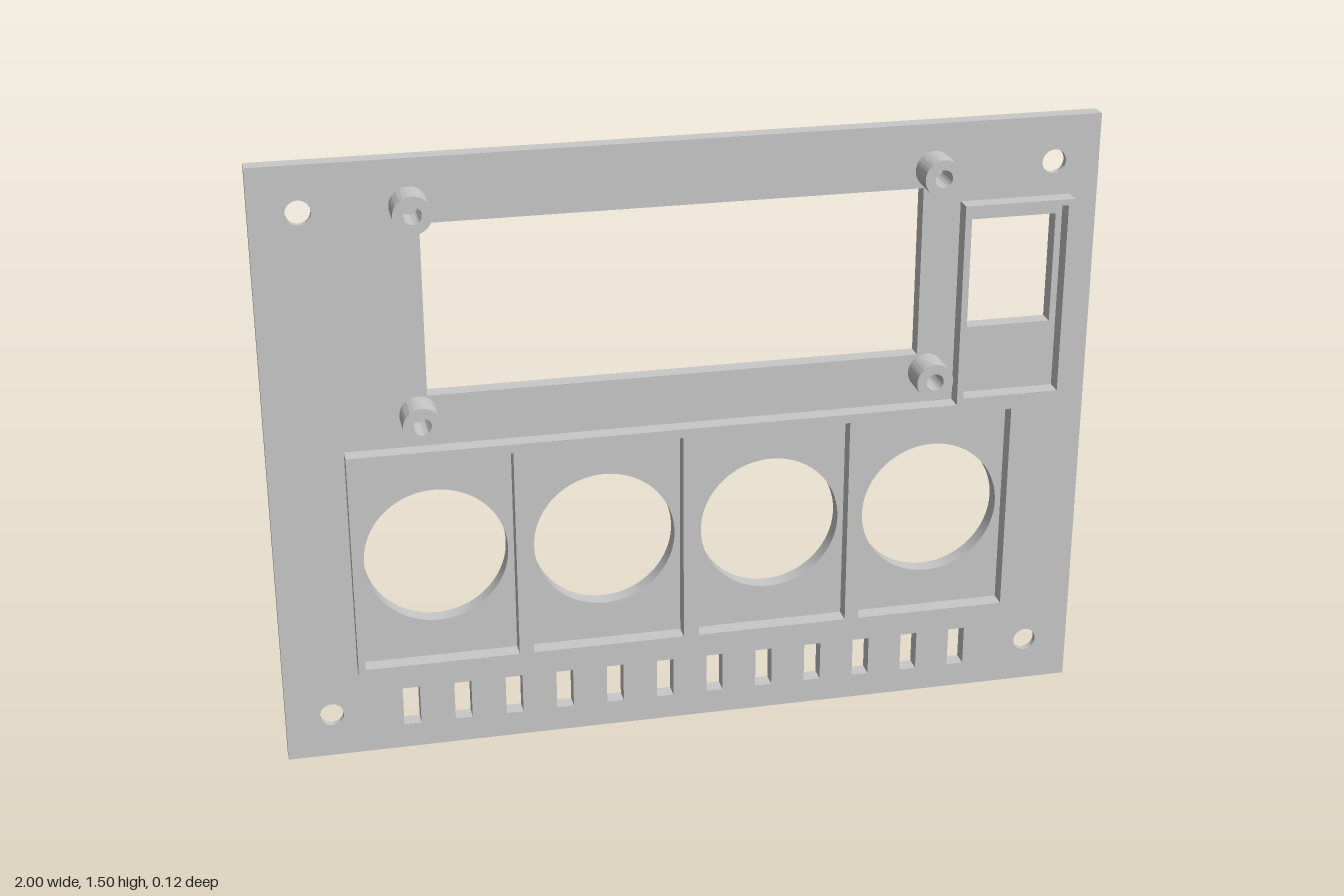
import * as THREE from 'three';
import { mergeGeometries, toCreasedNormals } from 'three/addons/utils/BufferGeometryUtils.js';

const BACK = -0.058, SINK = -0.034, FACE = -0.018, RIB = 0.023, BOSS = 0.058;
const HEIGHT = 1.505;

// Rectangle outline from its edges
function rect(x0, x1, y0, y1, Type = THREE.Path) {
  const p = new Type();
  p.moveTo(x0, y0).lineTo(x1, y0).lineTo(x1, y1).lineTo(x0, y1).closePath();
  return p;
}

function circle(x, y, r, Type = THREE.Path) {
  const p = new Type();
  p.absarc(x, y, r, 0, Math.PI * 2, false);
  return p;
}

// Extrude a shape from z0 to z1, leaving out the hidden cap at z = open
function slab(shape, z0, z1, open) {
  const g = new THREE.ExtrudeGeometry(shape, { depth: z1 - z0, bevelEnabled: false, curveSegments: 40 });
  g.translate(0, 0, z0);
  const src = g.attributes.position, out = [];
  for (let i = 0; i < src.count; i += 3) {
    const tri = [i, i + 1, i + 2];
    if (tri.every(k => Math.abs(src.getZ(k) - open) < 1e-5)) continue;
    for (const k of tri) out.push(src.getX(k), src.getY(k), src.getZ(k));
  }
  const res = new THREE.BufferGeometry();
  res.setAttribute('position', new THREE.Float32BufferAttribute(out, 3));
  return res;
}

export function createModel() {
  const group = new THREE.Group();
  // Double-sided for the open countersink walls
  const grey = new THREE.MeshStandardMaterial({ color: 0xc8c8c8, side: THREE.DoubleSide });
  grey.name = 'light grey';
  const add = (name, geometry) => {
    const mesh = new THREE.Mesh(toCreasedNormals(geometry, 0.6), grey);
    mesh.name = name;
    group.add(mesh);
  };

  const gaugeX = [-0.616, -0.207, 0.205, 0.614];
  const corners = [-0.888, 0.888].flatMap(x => [0.112, 1.394].map(y => [x, y]));

  // Panel outline with every cutout; screw holes take the given radius
  function panelShape(screwRadius) {
    const s = rect(-1, 1, 0, HEIGHT, THREE.Shape);
    s.holes.push(rect(-0.62, 0.567, 0.93, 1.35));      // display window
    s.holes.push(rect(0.688, 0.9, 0.99, 1.264));       // switch opening
    for (const x of gaugeX) s.holes.push(circle(x, 0.516, 0.173));
    for (let i = 0; i < 12; i++) {                     // vent slots
      const x = -0.693 + i * 0.1268;
      s.holes.push(rect(x - 0.021, x + 0.021, 0.063, 0.164));
    }
    for (const [x, y] of corners) s.holes.push(circle(x, y, screwRadius));
    return s;
  }

  // Front and back layers of the panel, joined without inner faces
  add('panel', mergeGeometries([
    slab(panelShape(0.029), SINK, FACE, SINK),
    slab(panelShape(0.052), BACK, SINK, SINK),
  ]));

  // Countersinks opening to the back
  for (const [x, y] of corners) {
    const cone = new THREE.LatheGeometry(
      [new THREE.Vector2(0.029, SINK), new THREE.Vector2(0.052, BACK)], 40);
    cone.rotateX(Math.PI / 2).translate(x, y, 0);
    add('countersink', cone);
  }

  // Raised frame around the four gauges and the switch
  const frame = new THREE.Shape();
  [[-0.82, 0.233], [0.818, 0.233], [0.818, 0.805], [0.932, 0.805], [0.932, 1.311],
    [0.66, 1.311], [0.66, 0.805], [-0.82, 0.805]]
    .forEach(([x, y], i) => (i ? frame.lineTo(x, y) : frame.moveTo(x, y)));
  frame.closePath();
  for (const x of gaugeX)
    frame.holes.push(rect(x - 0.187, x + 0.187, 0.248, 0.783));
  frame.holes.push(rect(0.676, 0.916, 0.821, 1.296));
  add('frame', slab(frame, FACE, RIB, FACE));

  // Hollow standoffs at the display corners
  for (const x of [-0.642, 0.591]) {
    for (const y of [0.885, 1.394]) {
      const ring = circle(x, y, 0.045, THREE.Shape);
      ring.holes.push(circle(x, y, 0.021));
      add('standoff', slab(ring, FACE, BOSS, FACE));
    }
  }
  return group;
}
